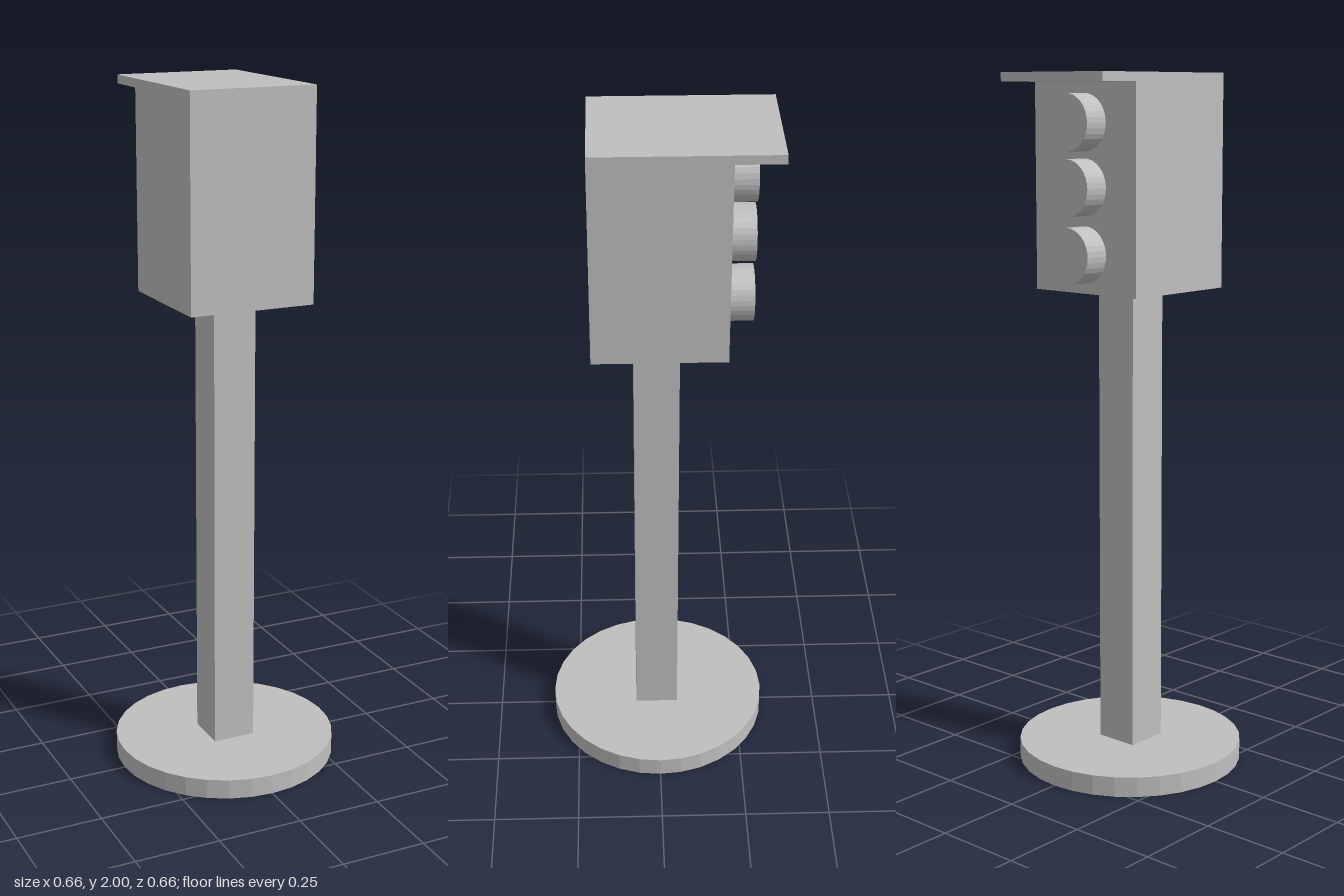
import * as THREE from 'three';

export function createModel() {
  const group = new THREE.Group();
  const grey = new THREE.MeshStandardMaterial({ color: 0xbfbfbf, flatShading: true });
  grey.name = 'plain grey';

  const add = (name, geometry, x, y, z) => {
    const mesh = new THREE.Mesh(geometry, grey);
    mesh.name = name;
    mesh.position.set(x, y, z);
    group.add(mesh);
    return mesh;
  };
  // Box given by its size, bottom height and centre depth
  const box = (name, w, h, d, bottom, z) =>
    add(name, new THREE.BoxGeometry(w, h, d), 0.001, bottom + h / 2, z);

  // Round foot and square post
  add('base', new THREE.CylinderGeometry(0.328, 0.328, 0.058, 32), 0, 0.029, 0);
  box('post', 0.128, 1.342, 0.128, 0.058, 0.004);

  // Signal housing with a flat visor level with its top
  box('housing', 0.372, 0.6, 0.37, 1.4, -0.001);
  box('visor', 0.372, 0.025, 0.132, 1.975, -0.252);

  // Three round lamps under the visor
  const lamp = new THREE.CylinderGeometry(0.078, 0.078, 0.074, 32).rotateX(-Math.PI / 2);
  [['topLamp', 1.867], ['middleLamp', 1.692], ['bottomLamp', 1.508]].forEach(([name, y]) =>
    add(name, lamp, 0.001, y, -0.223));

  return group;
}
